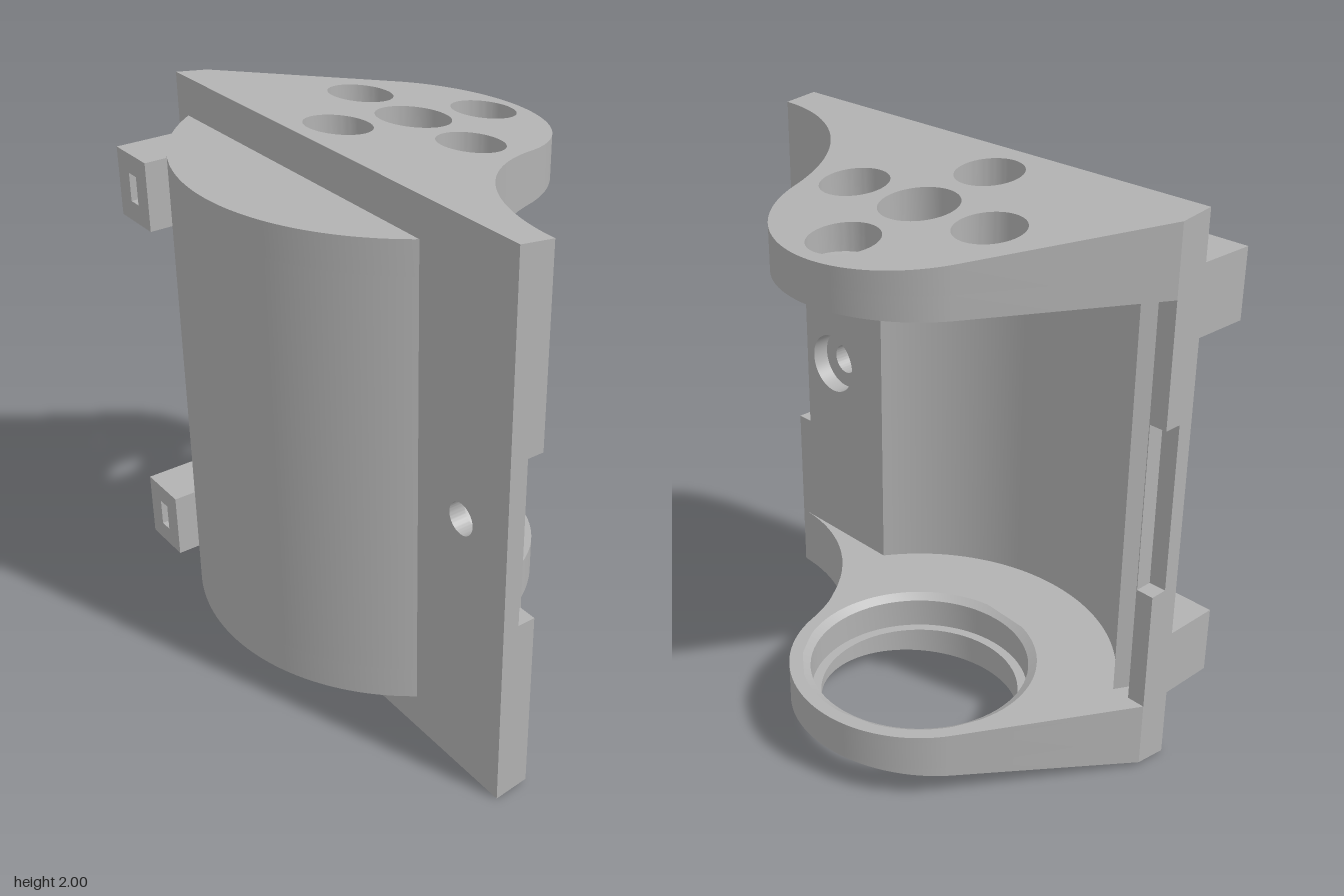
import * as THREE from 'three';
import { toCreasedNormals } from 'three/addons/utils/BufferGeometryUtils.js';

// Shared axis of the curved cover and the flange holes
const CX = -0.185, CZ = -0.18;
const BACK = 0.18, FRONT = 0.305, MID = 0.245; // plate depths
const LOW = 0.255, HIGH = 1.74; // inner faces of the flanges
const SLOPE = 0.1228;
const slope = (z) => SLOPE * (FRONT - z);

export function createModel() {
  const model = new THREE.Group();
  const grey = new THREE.MeshStandardMaterial({ color: 0xb2b2b2 });

  const add = (name, geometry) => {
    const mesh = new THREE.Mesh(toCreasedNormals(geometry, 0.4), grey);
    mesh.name = name;
    model.add(mesh);
  };

  // Extrudes a plan shape (x, -z) upward; rule may shift each vertex
  const slab = (name, shape, y0, y1, rule) => {
    const g = new THREE.ExtrudeGeometry(shape, { depth: y1 - y0, bevelEnabled: false, curveSegments: 40 });
    g.rotateX(-Math.PI / 2).translate(0, y0, 0);
    const p = g.attributes.position;
    const v = new THREE.Vector3();
    if (rule) {
      for (let i = 0; i < p.count; i++) {
        v.fromBufferAttribute(p, i);
        rule(v, v.y > (y0 + y1) / 2);
        p.setXYZ(i, v.x, v.y, v.z);
      }
    }
    add(name, g);
  };

  // Extrudes a front-view shape (x, y) along z
  const panel = (name, shape, z0, z1) => {
    const g = new THREE.ExtrudeGeometry(shape, { depth: z1 - z0, bevelEnabled: false, curveSegments: 32 });
    add(name, g.translate(0, 0, z0));
  };

  const poly = (points) => new THREE.Shape(points.map(([x, y]) => new THREE.Vector2(x, y)));
  const cutCircle = (shape, x, y, r) => {
    shape.holes.push(new THREE.Path().absarc(x, y, r, 0, Math.PI * 2, true));
    return shape;
  };

  // Flange outline: straight front, rounded lobe, concave sweep on the left side
  const flange = () => {
    const R = 0.6875, lobe = 0.465;
    const cy = R - BACK;
    const a = Math.atan2(cy + CZ, 0.92 - CX);
    const s = new THREE.Shape();
    s.moveTo(-0.92, -FRONT);
    s.lineTo(0.92, -FRONT);
    s.lineTo(0.92, -BACK);
    s.absarc(0.92, cy, R, -Math.PI / 2, a - Math.PI, true);
    s.absarc(CX, -CZ, lobe, a, 2.623, false);
    s.lineTo(-0.92, -BACK);
    return s;
  };

  // Top flange: narrow screw holes below, wide counterbores above
  const drilled = (r) => {
    const s = cutCircle(flange(), CX, -CZ, 0.13);
    for (const [dx, dz] of [[1, 0], [-1, 0], [0, 1], [0, -1]]) {
      cutCircle(s, CX + dx * 0.305, -CZ + dz * 0.305, r);
    }
    return s;
  };
  slab('topFlangeLower', drilled(0.057), HIGH, 1.82);
  slab('topFlangeUpper', drilled(0.115), 1.82, 2, (v, top) => {
    if (top) v.y = 2 - slope(v.z);
  });

  // Bottom flange: narrow lip, wide seat and chamfered rim
  const ring = (r) => cutCircle(flange(), CX, -CZ, r);
  slab('bottomFlangeLip', ring(0.355), 0, 0.125, (v, top) => {
    if (!top) v.y = slope(v.z);
  });
  slab('bottomFlangeSeat', ring(0.39), 0.125, 0.235);
  slab('bottomFlangeRim', ring(0.39), 0.235, LOW, (v, top) => {
    const dx = v.x - CX, dz = v.z - CZ;
    if (top && Math.hypot(dx, dz) < 0.4) {
      v.x = CX + dx * 1.077;
      v.z = CZ + dz * 1.077;
    }
  });

  // Curved cover: hollow shell between the flanges, solid caps at both ends
  const RO = 0.825, RI = 0.7;
  const ao = Math.asin((FRONT - CZ) / RO), ai = Math.asin((BACK - CZ) / RI);
  const xl = CX - RO * Math.cos(ao), xr = CX + RO * Math.cos(ao);
  const shell = new THREE.Shape();
  shell.moveTo(xl, -BACK);
  shell.absarc(CX, -CZ, RO, Math.PI + ao, Math.PI * 2 - ao, false);
  shell.lineTo(xr, -BACK);
  shell.absarc(CX, -CZ, RI, -ai, ai - Math.PI, true);
  slab('curvedCover', shell, LOW, HIGH);
  const cap = new THREE.Shape().absarc(CX, -CZ, RO, Math.PI + ao, Math.PI * 2 - ao, false);
  slab('coverBottomCap', cap, 0.135, LOW);
  slab('coverTopCap', cap, HIGH, 1.86);

  // Plate strips beside the cover, with edge notches cut into the back layer
  const strip = (inner, outer, notch) => poly(notch
    ? [[inner, LOW], [outer, LOW], [outer, 0.695], [notch, 0.695], [notch, 1.305],
      [outer, 1.305], [outer, HIGH], [inner, HIGH]]
    : [[inner, LOW], [outer, LOW], [outer, HIGH], [inner, HIGH]]);
  panel('leftPlateFront', cutCircle(strip(xr, 0.92), 0.7, 1, 0.057), MID, FRONT);
  panel('leftPlateBack', cutCircle(strip(xr, 0.92, 0.855), 0.7, 1, 0.115), BACK, MID);
  panel('rightPlateFront', strip(xl, -0.92), MID, FRONT);
  panel('rightPlateBack', strip(xl, -0.92, -0.855), BACK, MID);

  // Slotted clip blocks on the front
  const rect = (x0, x1, y0, y1) => [[x0, y0], [x1, y0], [x1, y1], [x0, y1]];
  for (const y of [0.32, 1.675]) {
    const block = poly(rect(-0.875, -0.675, y - 0.125, y + 0.125));
    block.holes.push(poly(rect(-0.8, -0.75, y - 0.052, y + 0.052)));
    panel('clipBlock', block, 0.34, 0.58);
    panel('clipBase', poly(rect(-0.875, -0.72, y - 0.125, y + 0.125)), 0.3, 0.34);
  }

  // Centre the depth exactly
  const box = new THREE.Box3().setFromObject(model);
  model.position.z = -(box.min.z + box.max.z) / 2;
  return model;
}
